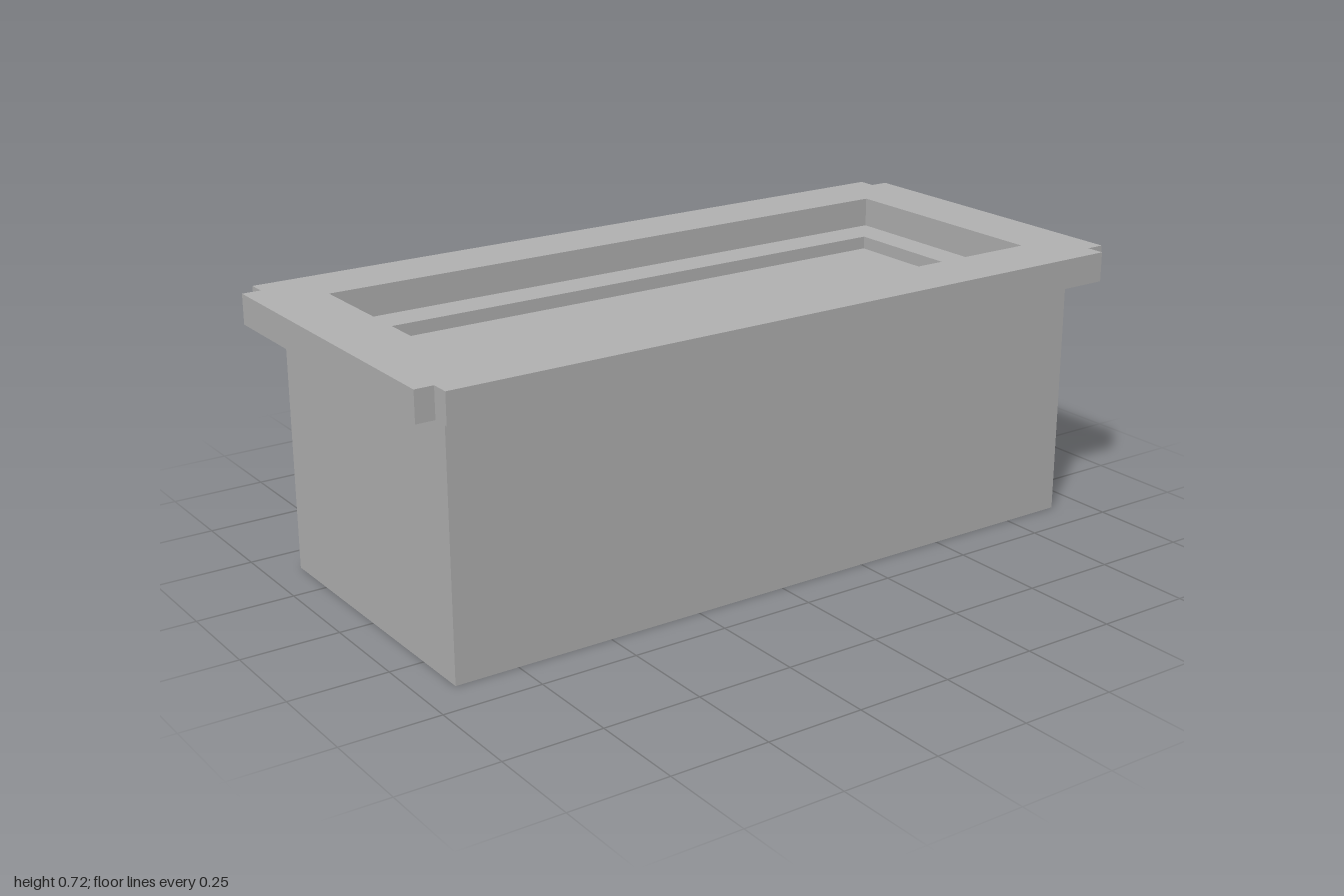
import * as THREE from 'three';

const stone = new THREE.MeshStandardMaterial({ color: 0xb2b2b2 });
stone.name = 'grey stone';

// Rectangle outline centred on the origin, with optional square notches cut from its corners
function rectPoints(hx, hz, notch = 0) {
  const corners = [[1, 1], [-1, 1], [-1, -1], [1, -1]];
  return corners.flatMap(([sx, sz], i) => {
    if (!notch) return [new THREE.Vector2(sx * hx, sz * hz)];
    const onSide = new THREE.Vector2(sx * hx, sz * (hz - notch));
    const inner = new THREE.Vector2(sx * (hx - notch), sz * (hz - notch));
    const onEnd = new THREE.Vector2(sx * (hx - notch), sz * hz);
    return i % 2 ? [onEnd, inner, onSide] : [onSide, inner, onEnd];
  });
}

// Horizontal ring between two outlines, from y0 up to y1
function slab(name, outline, hole, y0, y1) {
  const shape = new THREE.Shape(outline);
  if (hole) shape.holes.push(new THREE.Path(hole));
  const geo = new THREE.ExtrudeGeometry(shape, { depth: y1 - y0, bevelEnabled: false });
  geo.rotateX(-Math.PI / 2);
  geo.translate(0, y0, 0);
  const mesh = new THREE.Mesh(geo, stone);
  mesh.name = name;
  return mesh;
}

// Solid block with a shallow rectangular recess in its top, as one clean shell
function recessedBlock(name, hx, hz, rx, rz, height, floor) {
  const rings = [[hx, hz, 0], [hx, hz, height], [rx, rz, height], [rx, rz, floor]]
    .map(([x, z, y]) => [[x, y, z], [x, y, -z], [-x, y, -z], [-x, y, z]]);
  const pos = [];
  const quad = (a, b, c, d) => pos.push(...a, ...b, ...c, ...a, ...c, ...d);
  for (let r = 0; r < 3; r++) {
    for (let i = 0; i < 4; i++) {
      const j = (i + 1) % 4;
      quad(rings[r][i], rings[r][j], rings[r + 1][j], rings[r + 1][i]);
    }
  }
  quad(...rings[3]); // recess floor
  quad(...[...rings[0]].reverse()); // underside
  const geo = new THREE.BufferGeometry();
  geo.setAttribute('position', new THREE.Float32BufferAttribute(pos, 3));
  geo.computeVertexNormals();
  const mesh = new THREE.Mesh(geo, stone);
  mesh.name = name;
  return mesh;
}

export function createModel() {
  const group = new THREE.Group();
  group.name = 'planterBox';
  group.add(recessedBlock('body', 0.912, 0.397, 0.795, 0.276, 0.624, 0.59));
  // Rim floats just above the body
  group.add(slab('rim', rectPoints(1, 0.48, 0.048), rectPoints(0.83, 0.313), 0.644, 0.721));
  return group;
}
